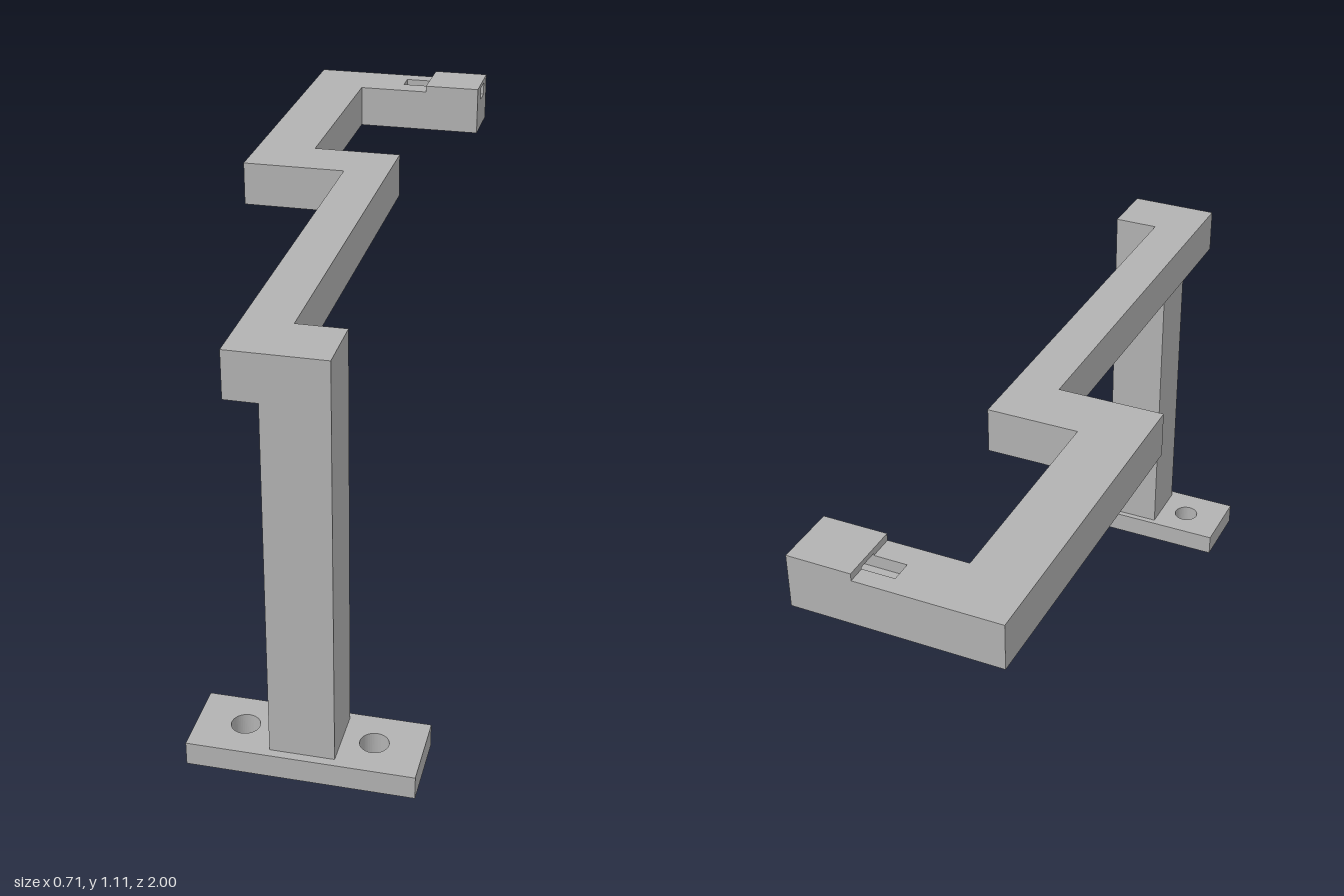
import * as THREE from 'three';

const ARM_BOTTOM = 0.975, ARM_TOP = 1.092, TIP_TOP = 1.11;
const SLOT = { z0: -0.955, z1: -0.903, y0: 1.062, y1: 1.097 };

// Closed shape from [u, v] points
const outline = (pts) => new THREE.Shape(pts.map(([u, v]) => new THREE.Vector2(u, v)));

// Extrude a plan given in (x, -z) upward from y0 to y1
function extrudeUp(shape, y0, y1) {
  return new THREE.ExtrudeGeometry(shape, { depth: y1 - y0, bevelEnabled: false, curveSegments: 24 })
    .rotateX(-Math.PI / 2).translate(0, y0, 0);
}

// Extrude a section given in (-z, y) sideways from x0 to x1
function extrudeAcross(shape, x0, x1) {
  return new THREE.ExtrudeGeometry(shape, { depth: x1 - x0, bevelEnabled: false })
    .rotateY(Math.PI / 2).translate(x0, 0, 0);
}

export function createModel() {
  const group = new THREE.Group();
  const grey = new THREE.MeshStandardMaterial({ color: 0xb2b2b2 });
  grey.name = 'grey';
  const add = (name, geometry) => {
    const mesh = new THREE.Mesh(geometry, grey);
    mesh.name = name;
    group.add(mesh);
  };

  // Base plate with two screw holes
  const plate = outline([[-0.198, -1], [0.352, -1], [0.352, -0.805], [-0.198, -0.805]]);
  for (const x of [-0.08, 0.234]) {
    plate.holes.push(new THREE.Path().absarc(x, -0.9, 0.035, 0, Math.PI * 2, true));
  }
  add('basePlate', extrudeUp(plate, 0, 0.06));

  // Upright post
  const post = new THREE.BoxGeometry(0.157, ARM_BOTTOM - 0.06, 0.157);
  add('post', post.translate(0.0785, (ARM_BOTTOM + 0.06) / 2, 0.9));

  // Zigzag arm, listed as x, z
  const arm = [
    [-0.08, 0.9785], [0.157, 0.9785], [0.157, 0.8215], [0.038, 0.8215],
    [0.038, -0.277], [-0.198, -0.277], [-0.198, -0.843], [-0.08, -0.843],
    [-0.08, -1], [-0.355, -1], [-0.355, -0.12], [-0.08, -0.12],
  ];
  add('arm', extrudeUp(outline(arm.map(([x, z]) => [x, -z])), ARM_BOTTOM, ARM_TOP));

  // Arm end with an open groove on top
  add('groovedEnd', extrudeAcross(outline([
    [0.843, ARM_BOTTOM], [1, ARM_BOTTOM], [1, ARM_TOP], [-SLOT.z0, ARM_TOP],
    [-SLOT.z0, SLOT.y0], [-SLOT.z1, SLOT.y0], [-SLOT.z1, ARM_TOP], [0.843, ARM_TOP],
  ]), -0.08, 0));

  // Raised tip block with the groove continuing as a tunnel
  const tip = outline([[0.843, ARM_BOTTOM], [1, ARM_BOTTOM], [1, TIP_TOP], [0.843, TIP_TOP]]);
  tip.holes.push(outline([
    [-SLOT.z1, SLOT.y0], [-SLOT.z1, SLOT.y1], [-SLOT.z0, SLOT.y1], [-SLOT.z0, SLOT.y0],
  ]));
  add('tipBlock', extrudeAcross(tip, 0, 0.157));

  return group;
}
